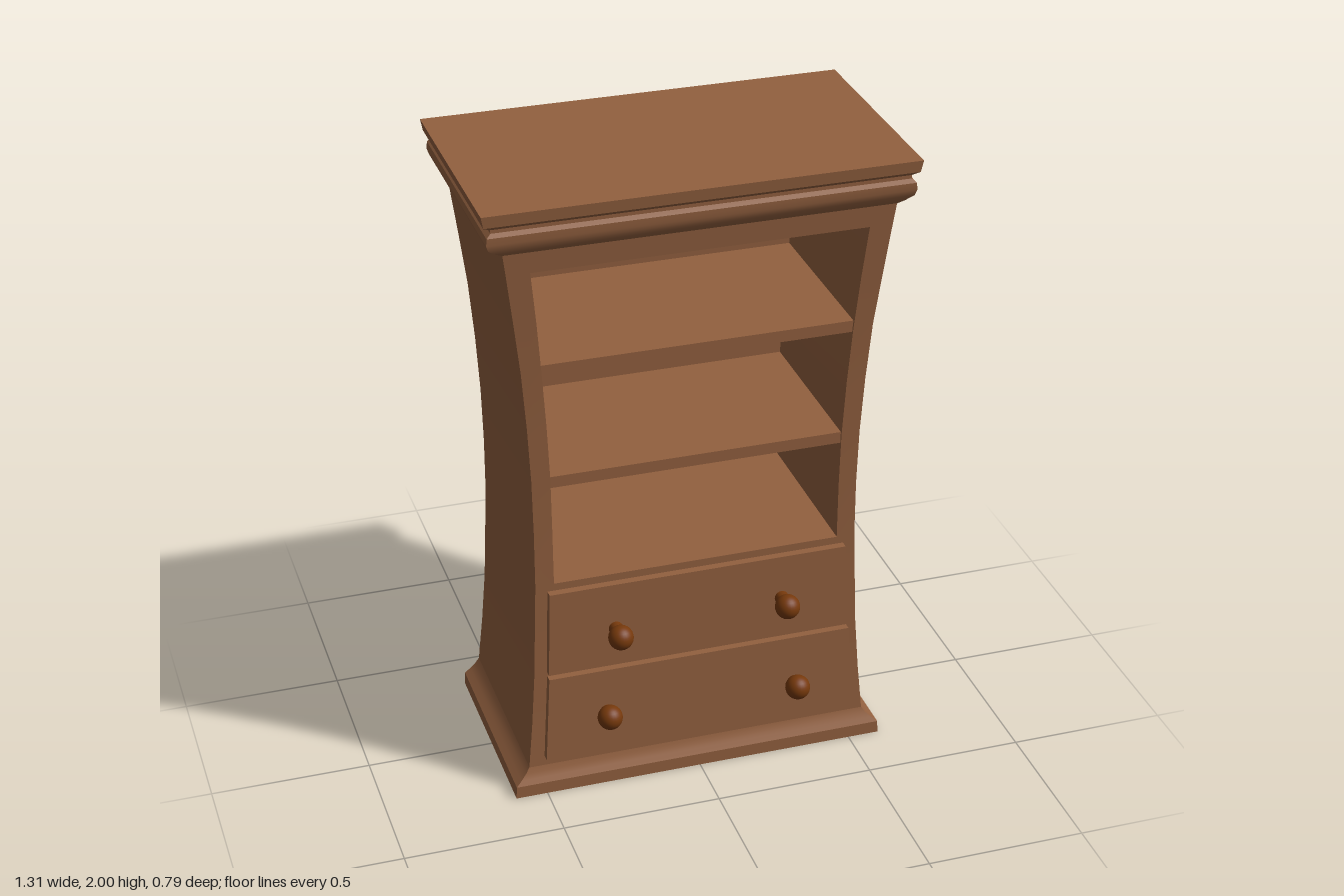
import * as THREE from 'three';
import { toCreasedNormals } from 'three/addons/utils/BufferGeometryUtils.js';

const wood = new THREE.MeshStandardMaterial({ color: 0x92603f });
wood.name = 'brown wood';
const knobWood = new THREE.MeshStandardMaterial({ color: 0x76390c });
knobWood.name = 'dark knob wood';

// Builds a geometry from quads, each with four counter-clockwise corners
function fromQuads(quads) {
  const pos = [];
  for (const [a, b, c, d] of quads) pos.push(...a, ...b, ...c, ...a, ...c, ...d);
  const geo = new THREE.BufferGeometry();
  geo.setAttribute('position', new THREE.Float32BufferAttribute(pos, 3));
  return toCreasedNormals(geo, 0.4);
}

// Stacks rectangular sections [y, half width, front z, back z]
function loftQuads(rows, openFront = () => false) {
  const rings = rows.map(([y, x, f, b]) => [[-x, y, f], [x, y, f], [x, y, b], [-x, y, b]]);
  const quads = [[...rings[0]].reverse(), rings[rings.length - 1]];
  for (let i = 0; i < rings.length - 1; i++) {
    for (let k = 0; k < 4; k++) {
      if (k === 0 && openFront(i)) continue;
      const n = (k + 1) % 4;
      quads.push([rings[i][k], rings[i][n], rings[i + 1][n], rings[i + 1][k]]);
    }
  }
  return quads;
}

export function createModel() {
  const model = new THREE.Group();
  model.name = 'bookcase';

  function add(name, geometry, material = wood, parent = model) {
    const mesh = new THREE.Mesh(geometry, material);
    mesh.name = name;
    parent.add(mesh);
    return mesh;
  }

  // Waisted case; the last value is the half width of the shelf opening
  const caseRows = [
    [0.09, 0.55, 0.285, -0.357],
    [0.25, 0.535, 0.279, -0.35],
    [0.42, 0.523, 0.274, -0.343],
    [0.735, 0.511, 0.269, -0.336, 0.453],
    [0.92, 0.511, 0.268, -0.335, 0.454],
    [1.10, 0.515, 0.271, -0.338, 0.457],
    [1.28, 0.525, 0.276, -0.343, 0.466],
    [1.465, 0.54, 0.283, -0.351, 0.479],
    [1.63, 0.56, 0.294, -0.364, 0.493],
    [1.795, 0.581, 0.305, -0.379, 0.51],
    [1.87, 0.591, 0.31, -0.386],
  ];
  const isOpen = (i) => i >= 3 && i <= 8;
  const caseQuads = loftQuads(caseRows, isOpen);

  // Front stiles on both sides of the opening
  for (let i = 3; i <= 8; i++) {
    const [ay, ax, af, , ai] = caseRows[i];
    const [by, bx, bf, , bi] = caseRows[i + 1];
    caseQuads.push([[-ax, ay, af], [-ai, ay, af], [-bi, by, bf], [-bx, by, bf]]);
    caseQuads.push([[ai, ay, af], [ax, ay, af], [bx, by, bf], [bi, by, bf]]);
  }
  add('case', fromQuads(caseQuads));

  // Inside of the shelf opening, facing inward
  const cavityRows = caseRows.slice(3, 10).map(([y, , f, , inner]) => [y, inner, f, -0.29]);
  const cavityQuads = loftQuads(cavityRows, () => true).map((q) => [...q].reverse());
  add('shelfOpening', fromQuads(cavityQuads));

  // Shelves
  for (const [y, x, f] of [[1.065, 0.462, 0.264], [1.445, 0.484, 0.276]]) {
    add('shelf', fromQuads(loftQuads([[y, x, f, -0.3], [y + 0.037, x, f, -0.3]])));
  }

  // Flared foot moulding
  add('base', fromQuads(loftQuads([
    [0, 0.6, 0.31, -0.36],
    [0.04, 0.598, 0.309, -0.36],
    [0.055, 0.58, 0.3, -0.36],
    [0.072, 0.562, 0.29, -0.36],
    [0.092, 0.549, 0.284, -0.358],
  ])));

  // Crown moulding with a groove under the top board
  add('crown', fromQuads(loftQuads([
    [1.86, 0.588, 0.308, -0.385],
    [1.872, 0.61, 0.318, -0.386],
    [1.89, 0.635, 0.33, -0.386],
    [1.908, 0.641, 0.334, -0.386],
    [1.93, 0.639, 0.334, -0.386],
    [1.942, 0.626, 0.326, -0.386],
    [1.953, 0.626, 0.326, -0.386],
    [1.964, 0.648, 0.337, -0.393],
    [2.0, 0.655, 0.34, -0.395],
  ])));

  // Drawers: [outer slab rows, knob positions, slab front z at knobs]
  const drawers = [
    { rows: [[0.429, 0.484, 0.302, 0.276], [0.711, 0.474, 0.294, 0.268]], knobs: [[-0.27, 0.56], [0.265, 0.568]] },
    { rows: [[0.135, 0.504, 0.325, 0.299], [0.42, 0.486, 0.312, 0.286]], knobs: [[-0.307, 0.275], [0.305, 0.262]] },
  ];
  for (const { rows, knobs } of drawers) {
    const drawer = new THREE.Group();
    drawer.name = 'drawer';
    model.add(drawer);
    add('drawerFront', fromQuads(loftQuads(rows)), wood, drawer);
    // Box behind the drawer front
    const [[y0, x0, , b0], [y1, x1, , b1]] = rows;
    add('drawerBox', fromQuads(loftQuads([
      [y0 + 0.03, x0 - 0.03, b0 + 0.005, 0.2],
      [y1 - 0.03, x1 - 0.03, b1 + 0.005, 0.2],
    ])), wood, drawer);
    // Round knobs on short stems
    for (const [x, y] of knobs) {
      const ball = add('knob', new THREE.SphereGeometry(0.039, 24, 16), knobWood, drawer);
      ball.position.set(x, y, 0.355);
      const stem = add('knobStem', new THREE.CylinderGeometry(0.022, 0.022, 0.06, 20), knobWood, drawer);
      stem.rotation.x = Math.PI / 2;
      stem.position.set(x, y, 0.315);
    }
  }
  return model;
}
